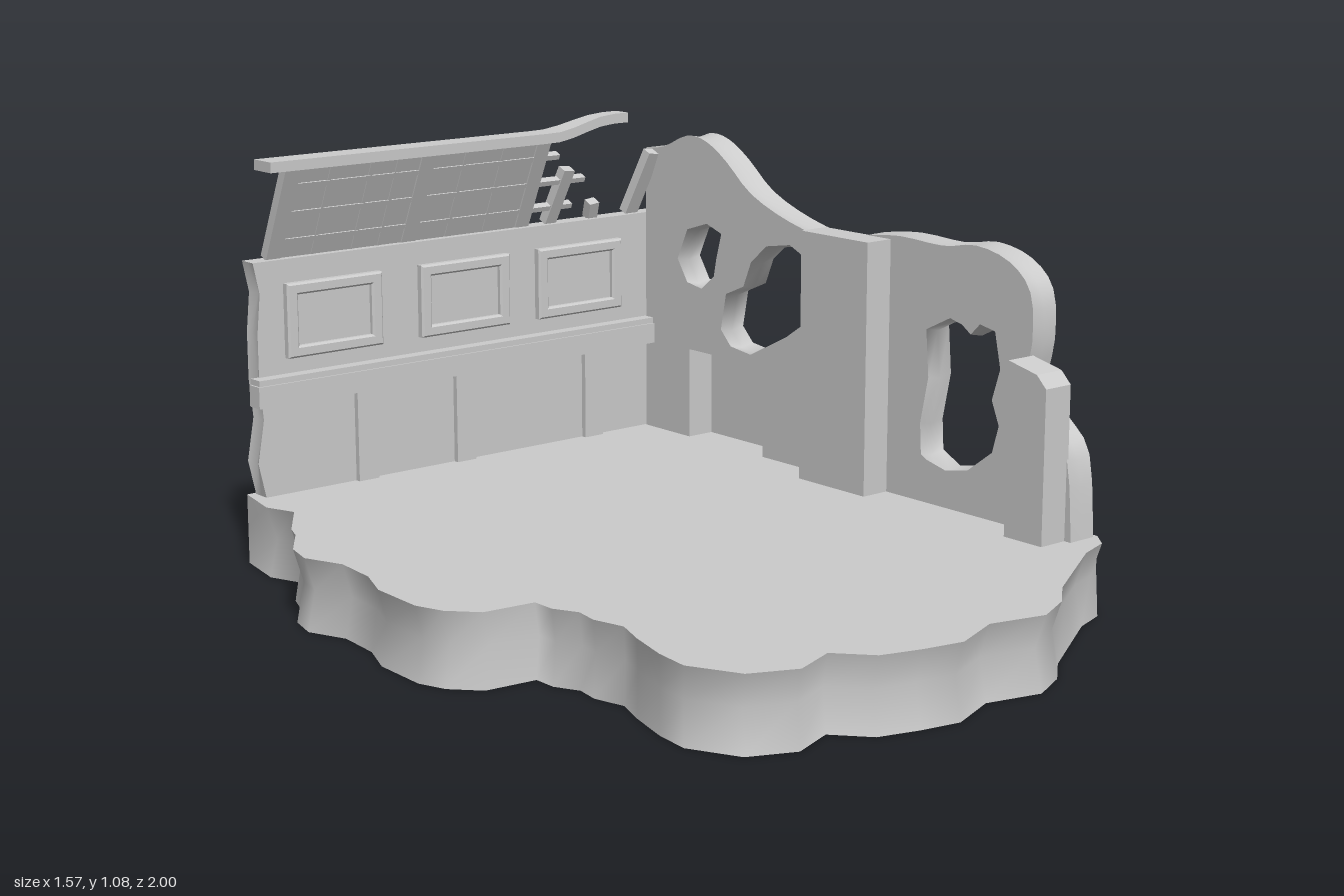
import * as THREE from 'three';

const mat = new THREE.MeshStandardMaterial({ color: 0xcccccc, side: THREE.DoubleSide });

export function createModel() {
  const root = new THREE.Group();
  const add = (name, geo, parent = root) => {
    const m = new THREE.Mesh(geo, mat);
    m.name = name;
    parent.add(m);
    return m;
  };
  const box = (name, x0, x1, y0, y1, z0, z1, parent) =>
    add(name, new THREE.BoxGeometry(x1 - x0, y1 - y0, z1 - z0)
      .translate((x0 + x1) / 2, (y0 + y1) / 2, (z0 + z1) / 2), parent);

  // Open skin joining successive rows of [x, y, z] points
  const skin = (rows) => {
    const n = rows[0].length, idx = [];
    for (let r = 0; r < rows.length - 1; r++)
      for (let i = 0; i < n - 1; i++) {
        const a = r * n + i, b = a + n;
        idx.push(a, b, a + 1, b, b + 1, a + 1);
      }
    const g = new THREE.BufferGeometry();
    g.setAttribute('position', new THREE.Float32BufferAttribute(rows.flat(2), 3));
    g.setIndex(idx);
    g.computeVertexNormals();
    return g;
  };
  const shapeOf = (pts) => new THREE.Shape(pts.map(([a, b]) => new THREE.Vector2(a, b)));

  // Ground slab: broken edge, hollow underneath and open on the left side
  const edge = [[-.57, -1], [-.6, -.86], [-.57, -.78], [-.66, -.65], [-.68, -.6], [-.75, -.5], [-.77, -.42],
    [-.73, -.32], [-.74, -.2], [-.78, -.1], [-.785, .05], [-.76, .12], [-.7, .185], [-.57, .2], [-.57, .26],
    [-.54, .32], [-.55, .38], [-.53, .46], [-.56, .54], [-.59, .65], [-.6, .74], [-.54, .86], [-.43, .91],
    [-.32, .87], [-.25, .95], [-.15, .98], [-.05, 1], [.08, .95], [.22, .985], [.32, .94], [.4, .87],
    [.55, .78], [.65, .72], [.74, .69], [.78, .64]];
  const top = shapeOf([...edge, [.78, -1]].map(([x, z]) => [x, -z]));
  add('groundTop', new THREE.ShapeGeometry(top).rotateX(-Math.PI / 2).translate(0, .18, 0));
  add('groundBrokenEdge', skin([[.18, 1], [.1, .975], [0, .995]].map(([y, s]) =>
    edge.map(([x, z], i) => (i === 0 || i === edge.length - 1) ? [x, y, z] : [x * s, y, z * s]))));
  add('groundBackEdge', skin([.18, 0].map((y) => [[.78, y, -1], [-.57, y, -1]])));

  // Side wall: inner face with holes, and rims reaching outward (outline as z, y)
  const IN = .685, OUT = .765;
  const crest = new THREE.SplineCurve([[.64, .18], [.62, .38], [.55, .46], [.48, .52], [.5, .64], [.49, .76],
    [.42, .825], [.31, .85], [.2, .835], [.05, .84], [-.08, .825], [-.2, .8], [-.35, .825], [-.5, .88],
    [-.6, .955], [-.68, 1], [-.76, 1.01], [-.86, .97], [-.935, .96]].map((p) => new THREE.Vector2(...p)))
    .getPoints(54).map((p) => [p.x, p.y]);
  crest.push([-.935, .18]);
  const niche = [[-.75, .18], [-.75, .425], [-.45, .425], [-.45, .18]];
  const holes = [
    [[.4, .56], [.38, .65], [.33, .66], [.3, .63], [.27, .65], [.23, .66], [.15, .62], [.16, .5], [.135, .38],
      [.14, .3], [.2, .27], [.3, .29], [.38, .35], [.4, .42], [.375, .48]],
    [[-.27, .73], [-.35, .765], [-.44, .75], [-.5, .7], [-.53, .63], [-.6, .6], [-.62, .5], [-.58, .46],
      [-.5, .45], [-.36, .52], [-.3, .56], [-.27, .62], [-.25, .68]],
    [[-.62, .76], [-.68, .78], [-.76, .755], [-.8, .67], [-.76, .61], [-.7, .6], [-.65, .64], [-.64, .69]],
  ];
  const wall = new THREE.Group();
  wall.name = 'sideWall';
  root.add(wall);
  const flip = (pts) => pts.map(([z, y]) => [-z, y]);
  const face = shapeOf(flip([...crest, ...niche]));
  face.holes = holes.map((h) => shapeOf(flip(h)));
  add('sideWallFace', new THREE.ShapeGeometry(face).rotateY(Math.PI / 2).translate(IN, 0, 0), wall);
  const rim = (name, pts) => add(name, skin([IN, (IN + OUT) / 2, OUT].map((x, r) =>
    pts.map(([z, y]) => [x, y - (r === 1 ? .008 : 0), z]))), wall);
  rim('sideWallCrest', crest.slice(0, -1));
  add('sideWallBackEnd', skin([IN, OUT].map((x) => [[x, .96, -.935], [x, .18, -.935]])), wall);
  holes.forEach((h) => rim('holeRim', [...h, h[0]]));
  for (let i = 0; i < 3; i++)
    add('nicheSide', skin([IN, OUT].map((x) => [niche[i], niche[i + 1]].map(([z, y]) => [x, y, z]))), wall);
  add('nicheBack', skin([.18, .425].map((y) => [[OUT, y, -.75], [OUT, y, -.45]])), wall);

  // Pillar on the inner face and the broken post at its front end
  box('wallPillar', .605, .69, .18, .828, -.22, .02);
  const post = new THREE.ExtrudeGeometry(shapeOf(flip([[.62, .18], [.62, .56], [.59, .59], [.5, .61], [.5, .18]])),
    { depth: .085, bevelEnabled: false });
  add('brokenPost', post.rotateY(Math.PI / 2).translate(.605, 0, 0));

  // Back wall: one face with returns along its top and broken end
  const back = new THREE.Group();
  back.name = 'backWall';
  root.add(back);
  const end = [[-.55, .18], [-.57, .27], [-.55, .38], [-.56, .48], [-.56, .6], [-.55, .7], [-.567, .78]];
  add('backWallFace', new THREE.ShapeGeometry(shapeOf([...end, [.77, .78], [.77, .18]])).translate(0, 0, -.94), back);
  add('backWallBrokenEnd', skin([-.94, -.965, -.99].map((z, r) =>
    end.map(([x, y], i) => [x + (r === 1 && i % 2 ? .012 : 0), y, z]))), back);
  add('backWallTop', skin([-.94, -.99].map((z) => [[-.567, .78, z], [.77, .78, z]])), back);
  box('ledge', -.585, .685, .42, .475, -.945, -.9, back);
  box('ledgeCap', -.58, .685, .475, .49, -.945, -.905, back);
  for (const x of [-.25, .06, .49]) box('pilaster', x - .03, x + .03, .18, .42, -.95, -.925, back);

  // Framed panels
  for (const x of [-.34, .065, .445]) {
    const f = shapeOf([[-.137, -.09], [.137, -.09], [.137, .09], [-.137, .09]]);
    f.holes.push(shapeOf([[-.115, -.07], [-.115, .07], [.115, .07], [.115, -.07]]));
    add('panelFrame', new THREE.ExtrudeGeometry(f, { depth: .016, bevelThickness: .005, bevelSize: .005,
      bevelSegments: 1 }).translate(x, .625, -.94), back);
    box('panel', x - .12, x + .12, .55, .7, -.942, -.934, back);
  }

  // Leaning lattice roof, local y running up the slope
  const roof = new THREE.Group();
  roof.name = 'latticeRoof';
  roof.position.set(0, .78, -.965);
  roof.rotation.x = .42;
  root.add(roof);
  box('roofPane', -.515, .295, 0, .27, -.002, .002, roof);
  for (const x of [-.495, -.09, .275]) box('rafter', x - .022, x + .022, 0, .27, -.02, .006, roof);
  for (const x of [-.38, -.26, -.18, .03, .15]) box('mullion', x - .005, x + .005, 0, .27, -.012, .004, roof);
  [[.05, .43], [.13, .45], [.21, .34]].forEach(([y, x]) =>
    box('slat', -.515, x, y - .007, y + .007, -.016, .005, roof));
  // Broken rafter stubs
  [[.37, .165, .036, -.1], [.515, .05, .03, .15], [.65, .19, .042, -.12]].forEach(([x, h, w, tilt]) => {
    const s = box('rafterStub', -w / 2, w / 2, 0, h, -.02, .008, roof);
    s.position.x = x;
    s.rotation.z = tilt;
  });

  // Ridge beam, its broken end bent upward
  const beam = new THREE.BoxGeometry(1.11, .026, .075, 24, 1, 1).translate(-.035, 1.033, -.842);
  const p = beam.attributes.position;
  for (let i = 0; i < p.count; i++) {
    const t = THREE.MathUtils.smoothstep(p.getX(i), .27, .47);
    p.setY(i, p.getY(i) + t * .034);
    p.setZ(i, p.getZ(i) + t * (p.getZ(i) < -.842 ? .02 : -.005));
  }
  beam.computeVertexNormals();
  add('ridgeBeam', beam);

  return root;
}
